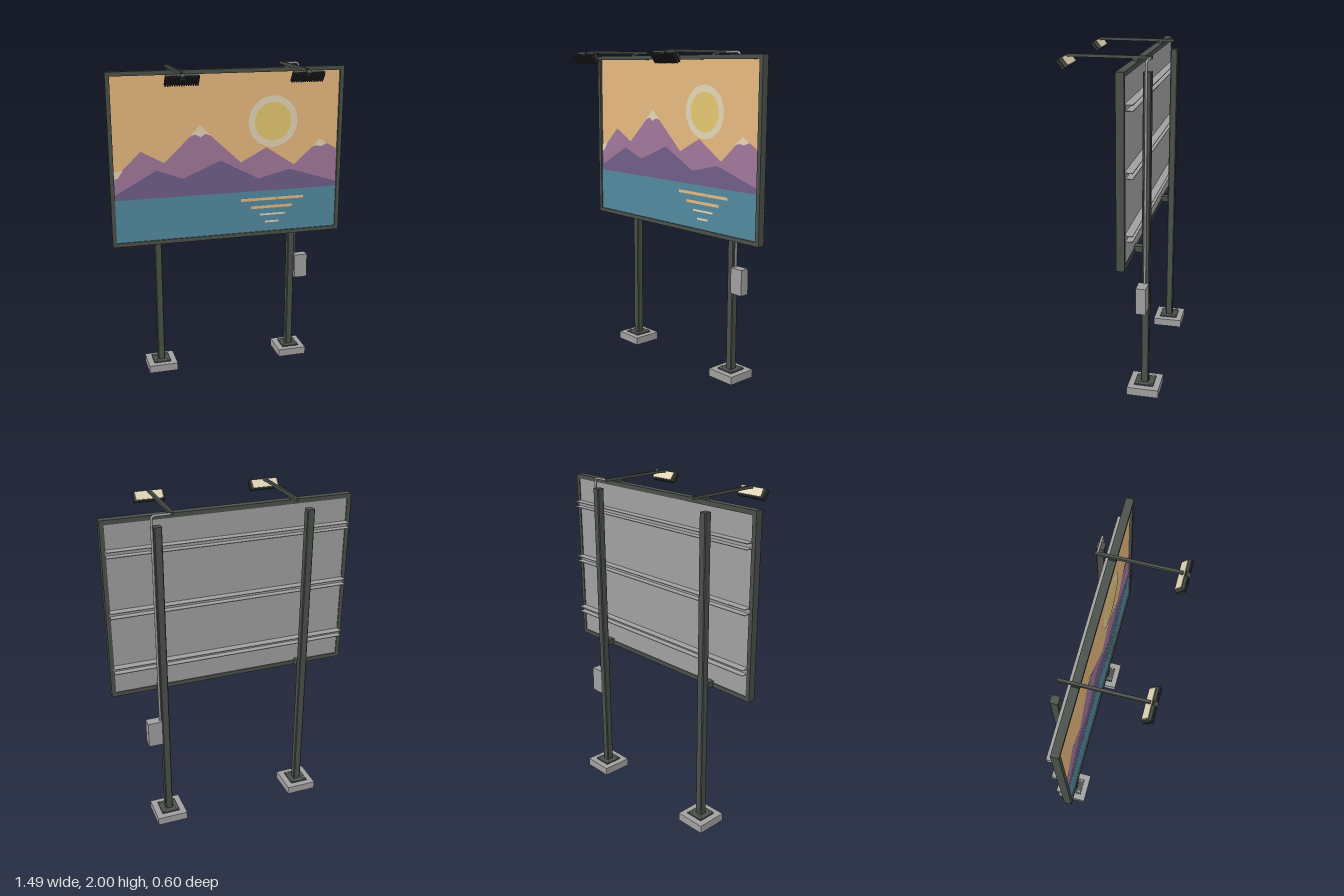
import * as THREE from 'three';

const mat = (name, color, opts = {}) => {
  const m = new THREE.MeshStandardMaterial({ color, ...opts });
  m.name = name;
  return m;
};

export function createModel() {
  const root = new THREE.Group();
  root.name = 'billboard';

  const steel = mat('dark steel', 0x4a504a);
  const black = mat('lamp black', 0x2c2f2c);
  const grey = mat('light grey', 0xa0a0a0);
  const sky = mat('sky orange', 0xe8ba80);
  const mauve = mat('mountain mauve', 0xa2789c);
  const violet = mat('hill violet', 0x6f5e88);
  const water = mat('water blue', 0x52899f);
  const sunMat = mat('sun yellow', 0xe4c870);
  const cream = mat('cream', 0xe4d6b6);

  const add = (parent, name, geo, material, x = 0, y = 0, z = 0) => {
    const m = new THREE.Mesh(geo, material);
    m.name = name;
    m.position.set(x, y, z);
    parent.add(m);
    return m;
  };
  // box given by its minimum and maximum corners
  const box = (parent, name, material, x0, x1, y0, y1, z0, z1) =>
    add(parent, name, new THREE.BoxGeometry(x1 - x0, y1 - y0, z1 - z0), material,
      (x0 + x1) / 2, (y0 + y1) / 2, (z0 + z1) / 2);
  const group = (name, parent = root) => {
    const g = new THREE.Group();
    g.name = name;
    parent.add(g);
    return g;
  };

  // Frame around the display
  const W = 0.747, B = 0.9, T = 1.973, RIM = 0.026;
  const rect = (C, x, y0, y1) => new C([[-x, y0], [x, y0], [x, y1], [-x, y1]]
    .map(([a, b]) => new THREE.Vector2(a, b)));
  const frameShape = rect(THREE.Shape, W, B, T);
  frameShape.holes.push(rect(THREE.Path, W - RIM, B + RIM, T - RIM));
  add(root, 'frame', new THREE.ExtrudeGeometry(frameShape, { depth: 0.045, bevelEnabled: false }),
    steel, 0, 0, -0.14);
  const X = W - RIM, Y0 = B + RIM, Y1 = T - RIM;
  box(root, 'backPanel', grey, -X, X, Y0, Y1, -0.135, -0.111);

  // Painted landscape, in thin layers from back to front
  const art = group('landscape');
  const layer = (name, material, pts, level) => {
    const s = new THREE.Shape(pts.map(([x, y]) => new THREE.Vector2(x, y)));
    add(art, name, new THREE.ShapeGeometry(s), material, 0, 0, -0.11 + level * 0.0015);
  };
  const bar = (name, material, x0, x1, y, h, level) =>
    layer(name, material, [[x0, y - h], [x1, y - h], [x1, y + h], [x0, y + h]], level);

  layer('sky', sky, [[-X, 1.19], [X, 1.19], [X, Y1], [-X, Y1]], 0);
  add(art, 'sunHalo', new THREE.RingGeometry(0.12, 0.161, 24), cream, 0.287, 1.64, -0.1085);
  add(art, 'sun', new THREE.CircleGeometry(0.122, 24), sunMat, 0.287, 1.64, -0.1088);
  layer('mountains', mauve, [[-X, 1.19], [X, 1.19], [X, 1.445], [0.6, 1.51], [0.43, 1.357],
    [0.245, 1.478], [0.077, 1.39], [-0.182, 1.63], [-0.41, 1.415], [-0.553, 1.493], [-X, 1.335]], 2);
  layer('snowCap', cream, [[-0.182, 1.638], [-0.25, 1.57], [-0.215, 1.582], [-0.18, 1.563],
    [-0.15, 1.582], [-0.118, 1.572]], 3);
  layer('snowCap', cream, [[0.6, 1.516], [0.545, 1.465], [0.58, 1.473], [0.61, 1.466], [0.65, 1.483]], 3);
  layer('snowCap', cream, [[-X, 1.328], [-0.695, 1.338], [-0.665, 1.384], [-X, 1.375]], 3);
  layer('hills', violet, [[-X, 1.19], [X, 1.19], [X, 1.23], [0.4, 1.33], [0.193, 1.28],
    [-0.055, 1.41], [-0.295, 1.31], [-0.46, 1.372], [-X, 1.23]], 4);
  layer('water', water, [[-X, Y0], [X, Y0], [X, 1.198], [-X, 1.198]], 5);
  bar('reflection', sky, 0.077, 0.315, 1.143, 0.009, 6);
  bar('reflection', sky, 0.32, 0.495, 1.143, 0.009, 6);
  bar('reflection', sky, 0.145, 0.42, 1.09, 0.009, 6);
  bar('reflection', cream, 0.204, 0.373, 1.04, 0.006, 6);
  bar('reflection', cream, 0.24, 0.33, 0.99, 0.006, 6);

  // Channel rails across the back, open to the rear
  for (const y of [1.79, 1.433, 1.083]) {
    const rail = group('rail');
    box(rail, 'railWeb', grey, -0.727, 0.727, y - 0.018, y + 0.018, -0.143, -0.135);
    for (const s of [-1, 1])
      box(rail, 'railFlange', grey, -0.727, 0.727, y + s * 0.016 - 0.002, y + s * 0.016 + 0.002, -0.181, -0.143);
  }

  // Square post with slightly cut corners
  const p = 0.023, c = 0.005;
  const postShape = new THREE.Shape([[p, c - p], [p, p - c], [p - c, p], [c - p, p],
    [-p, p - c], [-p, c - p], [c - p, -p], [p - c, -p]].map(([a, b]) => new THREE.Vector2(a, b)));
  const postGeo = new THREE.ExtrudeGeometry(postShape, { depth: 1.875, bevelEnabled: false });
  postGeo.rotateX(-Math.PI / 2);
  const boltGeo = new THREE.CylinderGeometry(0.008, 0.008, 0.012, 6);

  for (const side of [-1, 1]) {
    const x = side * 0.45, z = -0.203;
    const support = group(side > 0 ? 'leftSupport' : 'rightSupport');
    box(support, 'footing', grey, x - 0.095, x + 0.095, 0, 0.05, z - 0.095, z + 0.095);
    box(support, 'basePlate', steel, x - 0.056, x + 0.056, 0.05, 0.058, z - 0.058, z + 0.058);
    for (const i of [-1, 1]) for (const j of [-1, 1])
      add(support, 'bolt', boltGeo, grey, x + i * 0.042, 0.062, z + j * 0.042);
    add(support, 'post', postGeo, steel, x, 0.055, z);
    box(support, 'lowerBracket', steel, x - 0.023, x + 0.023, 0.905, 0.94, -0.182, -0.136);
  }

  // Floodlights on long arms
  for (const x of [-0.367, 0.364]) {
    const light = group('floodlight');
    box(light, 'lampArm', steel, x - 0.008, x + 0.008, 1.983, 2, -0.212, 0.262);
    box(light, 'armClamp', steel, x - 0.012, x + 0.012, 1.97, 1.985, -0.135, -0.1);
    const lamp = group('lamp', light);
    lamp.position.set(x, 1.958, 0.268);
    lamp.rotation.x = 0.65; // the lens faces down and back to the display
    box(lamp, 'lampBody', steel, -0.09, 0.09, -0.03, 0.03, -0.017, 0.001);
    box(lamp, 'lampLens', cream, -0.08, 0.08, -0.024, 0.024, -0.0185, -0.016);
    box(lamp, 'lampBack', black, -0.097, 0.097, -0.032, 0.032, -0.001, 0.006);
    for (let i = 0; i < 15; i++) {
      const fx = -0.091 + i * 0.013;
      box(lamp, 'coolingFin', black, fx - 0.003, fx + 0.003, -0.03, 0.03, 0.005, 0.019);
    }
    box(lamp, 'lampMount', steel, -0.012, 0.012, 0.01, 0.036, -0.012, 0.015);
  }

  // Electrical box and its conduit to the lamp arm
  box(root, 'electricalBox', grey, 0.473, 0.56, 0.555, 0.715, -0.222, -0.163);
  const path = new THREE.CurvePath();
  const v = (x, y) => new THREE.Vector3(x, y, -0.2);
  path.add(new THREE.LineCurve3(v(0.479, 0.7), v(0.479, 1.965)));
  path.add(new THREE.QuadraticBezierCurve3(v(0.479, 1.965), v(0.479, 1.989), v(0.455, 1.989)));
  path.add(new THREE.LineCurve3(v(0.455, 1.989), v(0.364, 1.989)));
  add(root, 'conduit', new THREE.TubeGeometry(path, 160, 0.007, 8), grey);

  return root;
}
